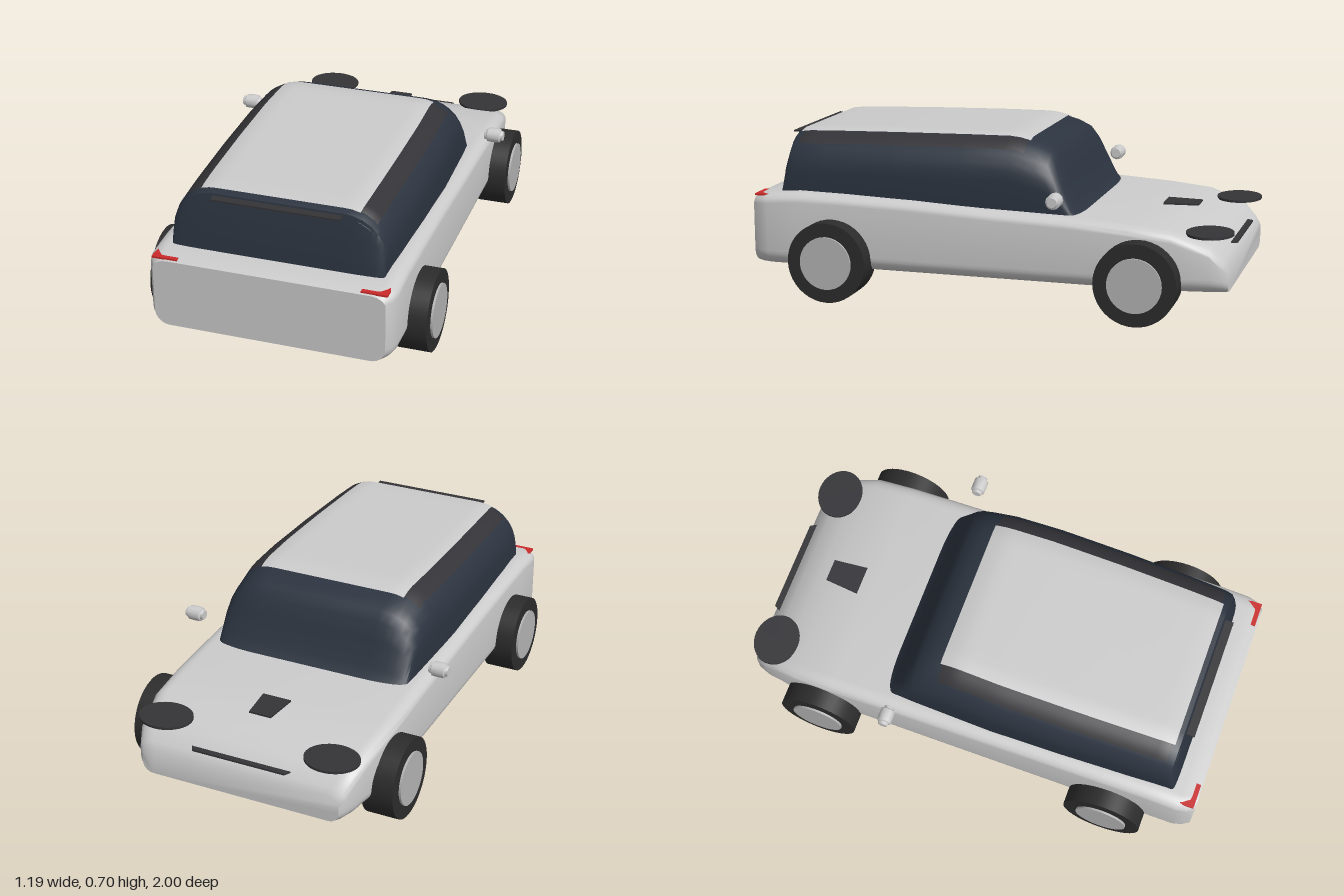
import * as THREE from 'three';
import { toCreasedNormals } from 'three/addons/utils/BufferGeometryUtils.js';

const mat = (color, side = THREE.FrontSide) => new THREE.MeshStandardMaterial({ color, side });
const paint = mat(0xcccccc, THREE.DoubleSide);
const glass = mat(0x2c3440);
const trim = mat(0x343438, THREE.DoubleSide);
const rubber = mat(0x2c2c2c);
const hubGrey = mat(0xb4b4b4);
const red = mat(0xcc2a2a);

// Stations along the car: [z, top y, half width]; the nose is at -z
const bodyStations = [
  [-0.99, 0.235, 0.43], [-0.97, 0.26, 0.45], [-0.92, 0.312, 0.47], [-0.85, 0.335, 0.48], [-0.77, 0.365, 0.495],
  [-0.6, 0.382, 0.5], [-0.35, 0.397, 0.5], [0, 0.41, 0.5], [0.3, 0.425, 0.5], [0.6, 0.433, 0.5],
  [0.8, 0.435, 0.5], [0.93, 0.425, 0.5], [0.97, 0.42, 0.49], [1, 0.41, 0.47],
];
const cabinStations = [
  [-0.395, 0.385, 0.4], [-0.375, 0.405, 0.42], [-0.35, 0.44, 0.43], [-0.31, 0.54, 0.432], [-0.28, 0.605, 0.434],
  [-0.25, 0.645, 0.436], [-0.2, 0.668, 0.438], [-0.1, 0.693, 0.442], [0.1, 0.691, 0.45], [0.4, 0.685, 0.448],
  [0.7, 0.677, 0.44], [0.83, 0.672, 0.434], [0.86, 0.66, 0.432], [0.875, 0.6, 0.432], [0.9, 0.4, 0.43],
];

// Rounded section, counter-clockwise seen from +z
function section([z, top, w], bottom, rb, rx, ry) {
  const pts = [], n = 7, h = top - bottom;
  rb = Math.min(rb, h * 0.4);
  ry = Math.min(ry, h * 0.55);
  const corner = (cx, cy, a, b, start) => {
    for (let i = 0; i <= n; i++) {
      const t = start + (i / n) * Math.PI / 2;
      pts.push([cx + a * Math.cos(t), cy + b * Math.sin(t), z]);
    }
  };
  corner(w - rb, bottom + rb, rb, rb, -Math.PI / 2);
  corner(w - rx, top - ry, rx, ry, 0);
  corner(-w + rx, top - ry, rx, ry, Math.PI / 2);
  corner(-w + rb, bottom + rb, rb, rb, Math.PI);
  return pts;
}

// Skin through the sections, with both ends capped
function loft(sections, crease) {
  const pos = [], n = sections[0].length;
  const tri = (a, b, c) => pos.push(...a, ...b, ...c);
  for (let s = 0; s < sections.length - 1; s++) {
    for (let i = 0; i < n; i++) {
      const j = (i + 1) % n, p = sections[s], q = sections[s + 1];
      tri(p[i], p[j], q[j]);
      tri(p[i], q[j], q[i]);
    }
  }
  const first = sections[0], last = sections[sections.length - 1];
  for (let i = 1; i < n - 1; i++) {
    tri(first[0], first[i + 1], first[i]);
    tri(last[0], last[i], last[i + 1]);
  }
  const g = new THREE.BufferGeometry();
  g.setAttribute('position', new THREE.Float32BufferAttribute(pos, 3));
  return toCreasedNormals(g, crease);
}

// Cabin width and height at any z, and the height of its skin at x
function cabinAt(z) {
  const k = Math.max(1, cabinStations.findIndex((s) => s[0] >= z));
  const a = cabinStations[k - 1], b = cabinStations[k], t = (z - a[0]) / (b[0] - a[0]);
  return { top: a[1] + (b[1] - a[1]) * t, w: a[2] + (b[2] - a[2]) * t };
}
const CABIN_RX = 0.17, CABIN_RY = 0.17;
function skinY(x, c) {
  const d = Math.max(0, (Math.abs(x) - (c.w - CABIN_RX)) / CABIN_RX);
  return c.top - CABIN_RY * (1 - Math.sqrt(Math.max(0, 1 - d * d)));
}

// Panel lying just above the cabin skin, between two fractions of its half width
function roofPatch(f0, f1, z0, z1, lift) {
  const g = new THREE.PlaneGeometry(1, 1, 20, 24), p = g.attributes.position;
  for (let i = 0; i < p.count; i++) {
    const z = z0 + (0.5 - p.getY(i)) * (z1 - z0), c = cabinAt(z);
    const x = (f0 + (p.getX(i) + 0.5) * (f1 - f0)) * c.w;
    p.setXYZ(i, x, skinY(x, c) + lift, z);
  }
  g.computeVertexNormals();
  return g;
}

// Thin horizontal plate from an outline of [x, z] corners
function plate(outline, y, thickness) {
  const shape = new THREE.Shape(outline.map(([x, z]) => new THREE.Vector2(x, -z)));
  const g = new THREE.ExtrudeGeometry(shape, { depth: thickness, bevelEnabled: false });
  return g.rotateX(-Math.PI / 2).translate(0, y, 0);
}

export function createModel() {
  const car = new THREE.Group();
  car.name = 'car';
  const add = (name, geometry, material, parent = car) => {
    const m = new THREE.Mesh(geometry, material);
    m.name = name;
    parent.add(m);
    return m;
  };

  // Shell and glasshouse
  add('body', loft(bodyStations.map((s) => section(s, 0.123, 0.06, 0.06, 0.04)), 0.75), paint);
  add('cabinGlass', loft(cabinStations.map((s) => section(s, 0.35, 0.01, CABIN_RX, CABIN_RY)), 0.75), glass);

  // Roof panel with dark rails beside it
  add('roofPanel', roofPatch(-0.74, 0.74, -0.16, 0.84, 0.006), paint);
  add('leftRoofRail', roofPatch(0.74, 0.89, -0.15, 0.865, 0.004), trim);
  add('rightRoofRail', roofPatch(-0.89, -0.74, -0.15, 0.865, 0.004), trim);

  // Thin strips and plates
  add('rearStrip', new THREE.BoxGeometry(0.52, 0.007, 0.035).translate(0, 0.652, 0.885), trim);
  add('grille', plate([[-0.2, -0.99], [0.2, -0.99], [0.215, -0.965], [-0.215, -0.965]], 0.277, 0.007), trim);
  add('hoodVent', plate([[-0.048, -0.8], [0.048, -0.8], [0.062, -0.655], [-0.062, -0.655]], 0.386, 0.007), trim);

  for (const s of [1, -1]) {
    const side = s > 0 ? 'left' : 'right';

    // Wheels
    for (const [end, z] of [['Front', -0.648], ['Rear', 0.64]]) {
      const wheel = new THREE.Group();
      wheel.name = `${side}${end}Wheel`;
      wheel.position.set(s * 0.509, 0.167, z);
      add('tyre', new THREE.CylinderGeometry(0.167, 0.167, 0.134, 40).rotateZ(Math.PI / 2), rubber, wheel);
      add('hub', new THREE.CylinderGeometry(0.11, 0.11, 0.145, 32).rotateZ(Math.PI / 2)
        .translate(s * 0.0035, 0, 0), hubGrey, wheel);
      car.add(wheel);
    }

    // Flat oval headlights with a pale underside
    const lamp = new THREE.Group();
    lamp.name = `${side}Headlight`;
    lamp.position.set(s * 0.363, 0.348, -0.905);
    add('lampCover', new THREE.CylinderGeometry(1, 1, 0.01, 40).scale(0.112, 1, 0.095), trim, lamp);
    add('lampLens', new THREE.CylinderGeometry(1, 1, 0.004, 40).scale(0.088, 1, 0.073)
      .translate(0, -0.005, 0), hubGrey, lamp);
    car.add(lamp);

    // Tail lights
    const corners = [[0.37, 0.92], [0.395, 0.91], [0.465, 0.91], [0.475, 0.95], [0.475, 0.992], [0.37, 0.992]];
    add(`${side}TailLight`, plate(corners.map(([x, z]) => [s * x, z]), 0.411, 0.008), red);

    // Mirrors
    const profile = [[0, -0.041], [0.02, -0.041], [0.022, -0.03], [0.03, -0.026], [0.031, 0], [0.03, 0.026],
      [0.022, 0.03], [0.02, 0.041], [0, 0.041]].map(([r, y]) => new THREE.Vector2(r, y));
    add(`${side}Mirror`, toCreasedNormals(new THREE.LatheGeometry(profile, 12), 0.6).rotateZ(Math.PI / 2),
      paint).position.set(s * 0.555, 0.48, -0.32);
  }
  return car;
}
